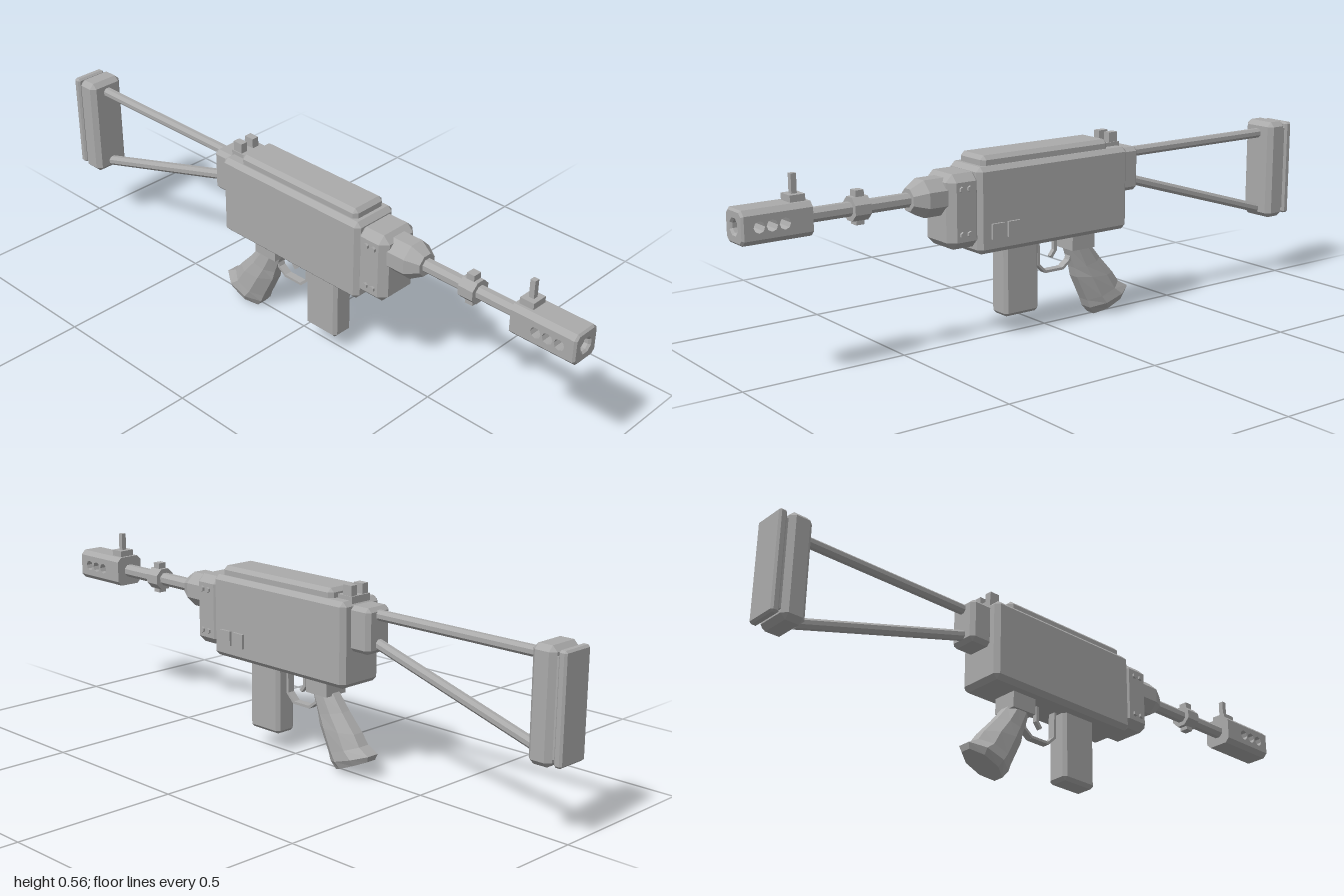
import * as THREE from 'three';
import { ConvexGeometry } from 'three/addons/geometries/ConvexGeometry.js';

export function createModel() {
  const root = new THREE.Group();
  root.name = 'rifle';
  const model = new THREE.Group();
  model.name = 'rifleParts';
  model.position.z = 0.0035;
  root.add(model);
  const grey = new THREE.MeshStandardMaterial({ color: 0xaaaaaa });
  grey.name = 'grey metal';
  const AXIS = 0.447; // barrel height

  // Adds a faceted mesh
  function add(name, geometry) {
    const g = geometry.index ? geometry.toNonIndexed() : geometry;
    g.computeVertexNormals();
    const mesh = new THREE.Mesh(g, grey);
    mesh.name = name;
    model.add(mesh);
    return mesh;
  }

  // Box given by its extents, with optional chamfered edges
  function block(name, x0, x1, y0, y1, z0, z1, c = 0) {
    const h = [(x1 - x0) / 2, (y1 - y0) / 2, (z1 - z0) / 2];
    let g;
    if (c === 0) g = new THREE.BoxGeometry(h[0] * 2, h[1] * 2, h[2] * 2);
    else {
      const pts = [];
      for (const sx of [-1, 1]) for (const sy of [-1, 1]) for (const sz of [-1, 1])
        for (let k = 0; k < 3; k++) {
          const e = h.map((v, i) => (i === k ? v : v - c));
          pts.push(new THREE.Vector3(sx * e[0], sy * e[1], sz * e[2]));
        }
      g = new ConvexGeometry(pts);
    }
    g.translate((x0 + x1) / 2, (y0 + y1) / 2, (z0 + z1) / 2);
    return add(name, g);
  }

  // Octagonal bar between two points in the middle plane
  function rod(name, ax, ay, bx, by, r0, r1 = r0) {
    const len = Math.hypot(bx - ax, by - ay);
    const g = new THREE.CylinderGeometry(r1, r0, len, 8);
    g.rotateY(Math.PI / 8);
    g.rotateZ(Math.atan2(by - ay, bx - ax) - Math.PI / 2);
    g.translate((ax + bx) / 2, (ay + by) / 2, 0);
    return add(name, g);
  }

  // Flat strip following a path in the middle plane
  function strip(name, pts, thick, width) {
    for (let i = 1; i < pts.length; i++) {
      const [ax, ay] = pts[i - 1], [bx, by] = pts[i];
      const g = new THREE.BoxGeometry(Math.hypot(bx - ax, by - ay) + thick * 0.4, thick, width);
      g.rotateZ(Math.atan2(by - ay, bx - ax));
      g.translate((ax + bx) / 2, (ay + by) / 2, 0);
      add(name, g);
    }
  }

  // Receiver, top cover and side buttons
  block('receiver', -0.265, 0.287, 0.272, 0.525, -0.077, 0.077, 0.014);
  block('topCover', -0.2, 0.262, 0.49, 0.553, -0.06, 0.06, 0.012);
  block('sideButton', 0.147, 0.19, 0.315, 0.36, -0.0845, -0.07);
  block('sideButton', 0.203, 0.246, 0.315, 0.36, -0.0845, -0.07);

  // Front block with its screws
  block('frontBlock', 0.27, 0.38, 0.296, 0.512, -0.07, 0.07, 0.022);
  for (const s of [-1, 1]) for (const x of [0.315, 0.341]) for (const y of [0.34, 0.47]) {
    const g = new THREE.CylinderGeometry(0.009, 0.009, 0.014, 6);
    g.rotateX(Math.PI / 2);
    g.translate(x, y, s * 0.07);
    add('screw', g);
  }

  // Rear block and skeleton stock
  block('rearBlock', -0.333, -0.255, 0.38, 0.514, -0.047, 0.047, 0.012);
  rod('upperStockRod', -0.9, 0.491, -0.32, 0.491, 0.016);
  rod('lowerStockRod', -0.9, 0.236, -0.32, 0.41, 0.016);
  block('stockPlate', -0.968, -0.895, 0.21, 0.53, -0.06, 0.06, 0.015);
  block('stockSpacer', -0.98, -0.96, 0.235, 0.505, -0.045, 0.045);
  block('buttPad', -1, -0.975, 0.217, 0.524, -0.053, 0.053, 0.006);

  // Rear sight
  block('rearSightBase', -0.26, -0.205, 0.515, 0.537, -0.037, 0.037);
  for (const s of [-1, 1])
    block('rearSightPost', -0.255, -0.222, 0.525, 0.567, s * 0.023 - 0.0115, s * 0.023 + 0.0115);

  // Barrel, nut and collar
  rod('barrelNut', 0.37, AXIS, 0.435, AXIS, 0.058);
  rod('barrelNutTaper', 0.435, AXIS, 0.475, AXIS, 0.058, 0.034);
  rod('barrel', 0.46, AXIS, 0.82, AXIS, 0.021);
  rod('barrelCollar', 0.61, AXIS, 0.66, AXIS, 0.036);
  block('collarTab', 0.622, 0.648, 0.402, 0.498, -0.014, 0.014);

  // Muzzle brake: drilled core, sloping rails above and below, bored end
  const X0 = 0.795, X1 = 0.982, HY = 0.047, HZ = 0.047, C = 0.014;
  const core = new THREE.Shape([[X0, C - HY], [X1, C - HY], [X1, HY - C], [X0, HY - C]]
    .map(([x, y]) => new THREE.Vector2(x, y)));
  for (const x of [0.877, 0.914, 0.951])
    core.holes.push(new THREE.Path().absarc(x, 0, 0.0165, 0, Math.PI * 2, true));
  add('muzzleCore', new THREE.ExtrudeGeometry(core, { depth: HZ * 2, bevelEnabled: false, curveSegments: 4 })
    .translate(0, AXIS, -HZ));
  for (const s of [-1, 1]) {
    const pts = [];
    for (const x of [X0, X1]) for (const t of [-1, 1]) {
      pts.push(new THREE.Vector3(x, AXIS + s * (HY - C), t * HZ));
      pts.push(new THREE.Vector3(x, AXIS + s * HY, t * (HZ - C)));
    }
    add('muzzleRail', new ConvexGeometry(pts));
  }
  const end = new THREE.Shape([[HZ, C - HY], [HZ, HY - C], [HZ - C, HY], [C - HZ, HY],
    [-HZ, HY - C], [-HZ, C - HY], [C - HZ, -HY], [HZ - C, -HY]].map(([x, y]) => new THREE.Vector2(x, y)));
  end.holes.push(new THREE.Path().absarc(0, 0, 0.02, Math.PI / 8, Math.PI * 17 / 8, true));
  const bore = [];
  for (let i = 0; i < 8; i++) {
    const a = -(i + 0.5) * Math.PI / 4;
    bore.push(new THREE.Vector2(Math.cos(a) * 0.019, Math.sin(a) * 0.019));
  }
  end.holes = [new THREE.Path(bore)];
  add('muzzleEnd', new THREE.ExtrudeGeometry(end, {
    depth: 0.014, bevelThickness: 0.006, bevelSize: 0.006, bevelOffset: -0.006, bevelSegments: 1,
  }).rotateY(Math.PI / 2).translate(0.98, AXIS, 0));

  // Front sight
  block('frontSightBase', 0.805, 0.85, 0.485, 0.513, -0.025, 0.025);
  block('frontSightPost', 0.82, 0.836, 0.51, 0.567, -0.008, 0.008);

  // Magazine
  block('magazine', 0.043, 0.168, 0.058, 0.29, -0.036, 0.036, 0.01);

  // Trigger and guard
  strip('triggerGuard', [[-0.105, 0.225], [-0.092, 0.185], [-0.065, 0.165], [0, 0.165],
    [0.026, 0.19], [0.028, 0.28]], 0.008, 0.024);
  strip('trigger', [[-0.04, 0.28], [-0.04, 0.225], [-0.026, 0.207]], 0.01, 0.014);

  // Grip: octagonal sections given as front point, back point, half width
  block('gripNeck', -0.165, -0.08, 0.222, 0.285, -0.04, 0.04);
  const sections = [
    [-0.083, 0.226, -0.165, 0.23, 0.034],
    [-0.107, 0.16, -0.205, 0.18, 0.038],
    [-0.115, 0.13, -0.255, 0.125, 0.043],
    [-0.155, 0.05, -0.278, 0.092, 0.047],
    [-0.165, 0.025, -0.314, 0.072, 0.05],
    [-0.184, 0.002, -0.308, 0.054, 0.04],
  ];
  const pos = [], idx = [];
  for (const [fx, fy, bx, by, hz] of sections)
    for (let j = 0; j < 8; j++) {
      const a = (j + 0.5) * Math.PI / 4, k = Math.cos(Math.PI / 8);
      const t = (1 + Math.cos(a) / k) / 2;
      pos.push(bx + (fx - bx) * t, by + (fy - by) * t, hz * Math.sin(a) / k);
    }
  for (let i = 0; i < sections.length - 1; i++)
    for (let j = 0; j < 8; j++) {
      const a = i * 8 + j, b = i * 8 + (j + 1) % 8;
      idx.push(a, b, a + 8, b, b + 8, a + 8);
    }
  const last = (sections.length - 1) * 8;
  for (let j = 1; j < 7; j++) idx.push(last, last + j, last + j + 1);
  const grip = new THREE.BufferGeometry();
  grip.setAttribute('position', new THREE.Float32BufferAttribute(pos, 3));
  grip.setIndex(idx);
  add('grip', grip);

  return root;
}
